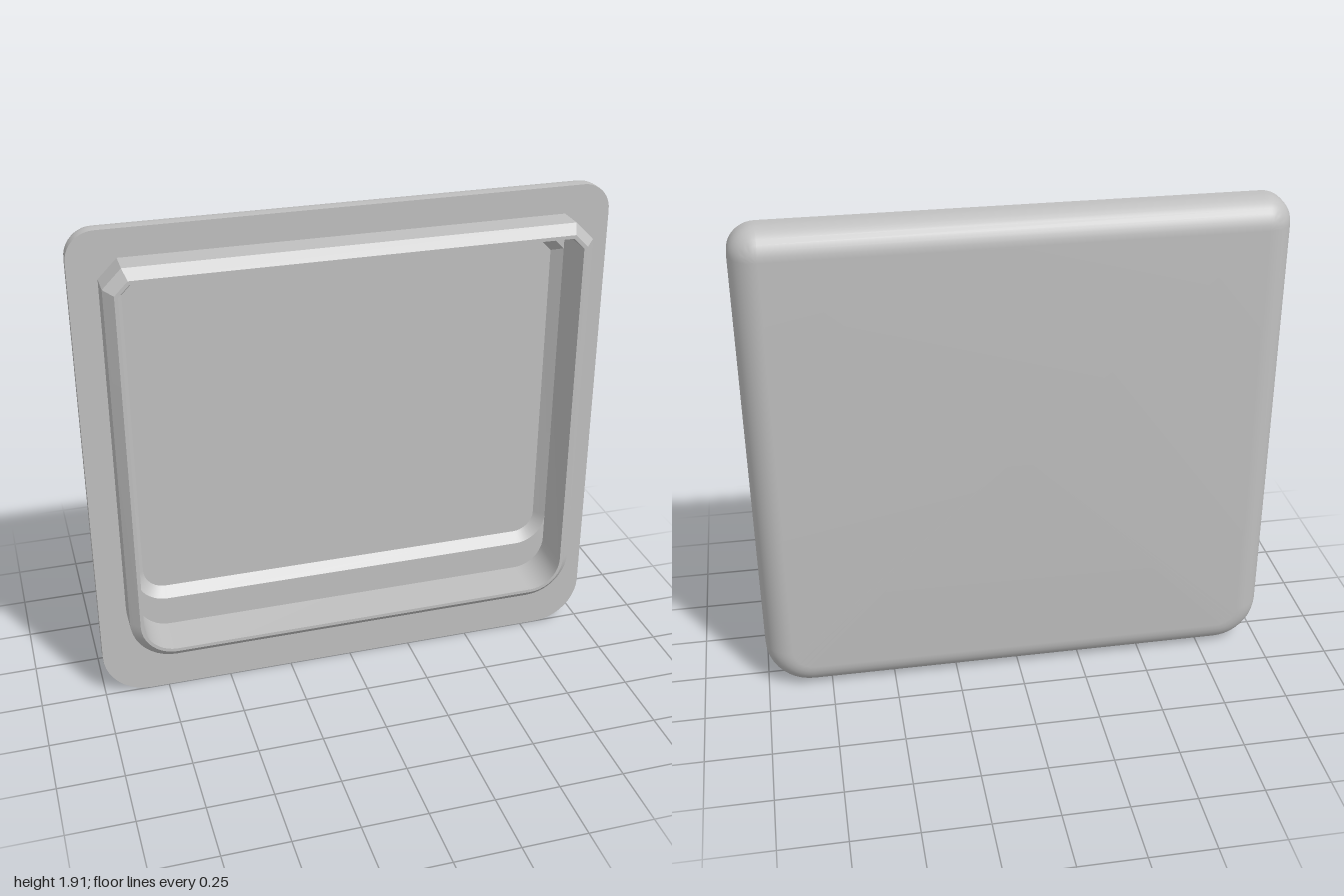
import * as THREE from 'three';
import { toCreasedNormals } from 'three/addons/utils/BufferGeometryUtils.js';

const SEG = 10; // steps per corner

// Closed outline, counter-clockwise from the front: rounded bottom corners,
// top corners either rounded or cut straight.
function outline({ hw, y0, y1, rb, rt, cut = false }, z, inset = 0) {
  const w = hw - inset, lo = y0 + inset, hi = y1 - inset;
  const b = Math.max(rb - inset, 0);
  const t = Math.max(rt - inset * (cut ? 2 - Math.SQRT2 : 1), 0);
  const pts = [];
  const corner = (cx, cy, r, start, straight) => {
    for (let i = 0; i <= SEG; i++) {
      const k = i / SEG, a = start + k * Math.PI / 2;
      let c = Math.cos(a), s = Math.sin(a);
      if (straight) {
        c = Math.cos(start) * (1 - k) + Math.cos(start + Math.PI / 2) * k;
        s = Math.sin(start) * (1 - k) + Math.sin(start + Math.PI / 2) * k;
      }
      pts.push(new THREE.Vector3(cx + r * c, cy + r * s, z));
    }
  };
  corner(-w + b, lo + b, b, Math.PI, false);
  corner(w - b, lo + b, b, Math.PI * 1.5, false);
  corner(w - t, hi - t, t, 0, cut);
  corner(-w + t, hi - t, t, Math.PI / 2, cut);
  return pts;
}

// Outline collapsed to its middle, used to close a flat face.
const centre = (loop) => {
  const mid = new THREE.Vector3(0, (loop[0].y + loop[2 * SEG + 2].y) / 2, loop[0].z);
  return loop.map(() => mid);
};

// Skin joining successive outlines.
function loft(name, loops, material) {
  const pos = [];
  const tri = (a, b, c) => {
    if (new THREE.Triangle(a, b, c).getArea() > 1e-8) {
      for (const p of [a, b, c]) pos.push(p.x, p.y, p.z);
    }
  };
  for (let j = 0; j < loops.length - 1; j++) {
    const p = loops[j], q = loops[j + 1], n = p.length;
    for (let i = 0; i < n; i++) {
      const k = (i + 1) % n;
      tri(p[i], p[k], q[k]);
      tri(p[i], q[k], q[i]);
    }
  }
  const geo = new THREE.BufferGeometry();
  geo.setAttribute('position', new THREE.Float32BufferAttribute(pos, 3));
  const mesh = new THREE.Mesh(toCreasedNormals(geo, Math.PI / 6), material);
  mesh.name = name;
  return mesh;
}

export function createModel() {
  const group = new THREE.Group();
  group.name = 'lidPanel';
  const grey = new THREE.MeshStandardMaterial({ color: 0xc0c0c0 });
  grey.name = 'plainGrey';

  const depth = 0.138, fillet = 0.104, bevel = 0.035;
  const plate = { hw: 1, y0: 0, y1: 1.91, rb: 0.18, rt: 0.105 };
  const rim = { hw: 0.895, y0: 0.215, y1: 1.805, rb: 0.17, rt: 0.07, cut: true };
  const lip = 0.048; // inset of the rim's inner wall
  const ledgeZ = -0.037, floorZ = -0.073;
  const well = { hw: 0.847, y0: 0.38, y1: 1.725, rb: 0.12, rt: 0.07, cut: true };

  // Plate: flat back, rounded back edge, straight side, front border
  const back = outline(plate, -depth, fillet + 0.004);
  const plateLoops = [centre(back), back];
  for (let i = 0; i <= 8; i++) {
    const a = (i / 8) * Math.PI / 2;
    plateLoops.push(outline(plate, -depth + fillet * (1 - Math.cos(a)), fillet * (1 - Math.sin(a))));
  }
  plateLoops.push(outline(plate, 0), outline(rim, 0));
  group.add(loft('plate', plateLoops, grey));

  // Raised rim: outer wall, bevel, narrow lip
  group.add(loft('raisedRim', [
    outline(rim, 0),
    outline(rim, depth - bevel),
    outline(rim, depth, bevel),
    outline(rim, depth, lip),
  ], grey));

  // Recess: inner wall, ledge, sloped step, floor
  const floor = outline(well, floorZ, 0.037);
  group.add(loft('recess', [
    outline(rim, depth, lip),
    outline(rim, ledgeZ, lip),
    outline(well, ledgeZ),
    floor,
    centre(floor),
  ], grey));

  return group;
}
